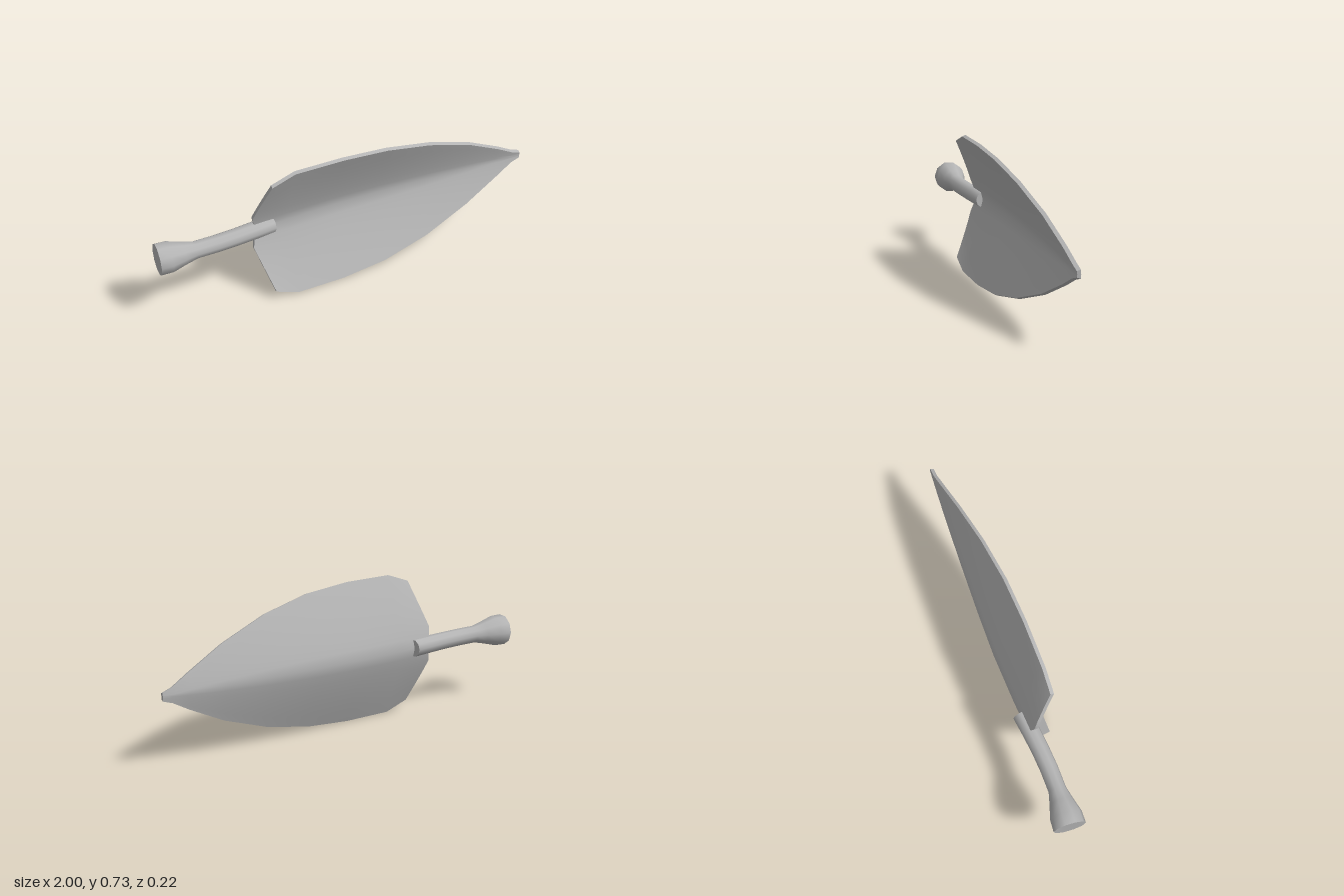
import * as THREE from 'three';
import { toCreasedNormals } from 'three/addons/utils/BufferGeometryUtils.js';

const MID_Y = 0.375;

// Skin closed rings (even point count, ordered front-up then back-down) running along +x, with end caps.
function loft(rings) {
  const n = rings[0].length, index = [];
  for (let s = 0; s < rings.length - 1; s++) {
    for (let i = 0; i < n; i++) {
      const a = s * n + i, b = s * n + (i + 1) % n;
      index.push(a, a + n, b, a + n, b + n, b);
    }
  }
  const end = (rings.length - 1) * n;
  for (let i = 0; i < n / 2 - 1; i++) {
    const p = i, q = i + 1, r = n - 2 - i, t = n - 1 - i;
    index.push(p, q, r, p, r, t);
    index.push(end + p, end + t, end + r, end + p, end + r, end + q);
  }
  const geo = new THREE.BufferGeometry();
  geo.setAttribute('position', new THREE.Float32BufferAttribute(rings.flat(2), 3));
  geo.setIndex(index);
  return toCreasedNormals(geo, 0.8);
}

// Folded blade: each station is x, half width, ridge z, edge z
function bladeGeometry() {
  const stations = [
    [-0.44, 0.315, -0.015, 0.107],
    [-0.32, 0.36, -0.037, 0.102],
    [-0.07, 0.36, -0.062, 0.085],
    [0.17, 0.338, -0.074, 0.06],
    [0.42, 0.28, -0.082, 0.02],
    [0.67, 0.185, -0.088, -0.03],
    [0.86, 0.085, -0.09, -0.068],
    [0.95, 0.032, -0.09, -0.084],
    [1.0, 0.014, -0.09, -0.088],
  ];
  const half = [0.14, 0.28, 0.45, 0.62, 0.8, 1];
  const across = [...half.map((t) => -t).reverse(), 0, ...half];
  const rings = stations.map(([x, w, ridge, edge], s) => {
    const point = (t, back) => {
      const u = Math.abs(t);
      // the rear edge is swept back, with a small notch at the stem
      const rear = u < 0.28 ? -0.495 - 0.02 * (u / 0.28) : -0.515 + 0.075 * (u - 0.28) / 0.72;
      return [
        s === 0 ? rear : x,
        MID_Y + t * (w + (back ? 0.007 : 0)),
        ridge + (edge - ridge) * Math.pow(u, 1.2) - (back ? 0.018 : 0),
      ];
    };
    return [
      ...across.map((t) => point(t, false)),
      ...[...across].reverse().map((t) => point(t, true)),
    ];
  });
  return loft(rings);
}

// Ten-sided curved stem: each station is x, centre z, radius, lean
function stemGeometry() {
  const stations = [
    [-1.0, 0.021, 0.08, 0],
    [-0.94, 0.021, 0.079, 0],
    [-0.87, 0.02, 0.059, 0],
    [-0.81, 0.019, 0.044, 0.03],
    [-0.7, 0.012, 0.044, 0.1],
    [-0.6, 0, 0.044, 0.14],
    [-0.5, -0.016, 0.045, 0.17],
    [-0.402, -0.035, 0.045, 0.18],
  ];
  return loft(stations.map(([x, z, r, lean]) =>
    Array.from({ length: 10 }, (_, i) => {
      const a = (i / 10) * Math.PI * 2;
      return [x + lean * r * Math.cos(a), MID_Y + r * Math.sin(a), z + r * Math.cos(a)];
    })));
}

export function createModel() {
  const grey = new THREE.MeshStandardMaterial({ color: 0xb4b4b4 });
  grey.name = 'plain grey';
  const group = new THREE.Group();
  group.name = 'leaf';
  const add = (name, geometry) => {
    const mesh = new THREE.Mesh(geometry, grey);
    mesh.name = name;
    group.add(mesh);
  };
  add('blade', bladeGeometry());
  add('stem', stemGeometry());
  return group;
}
